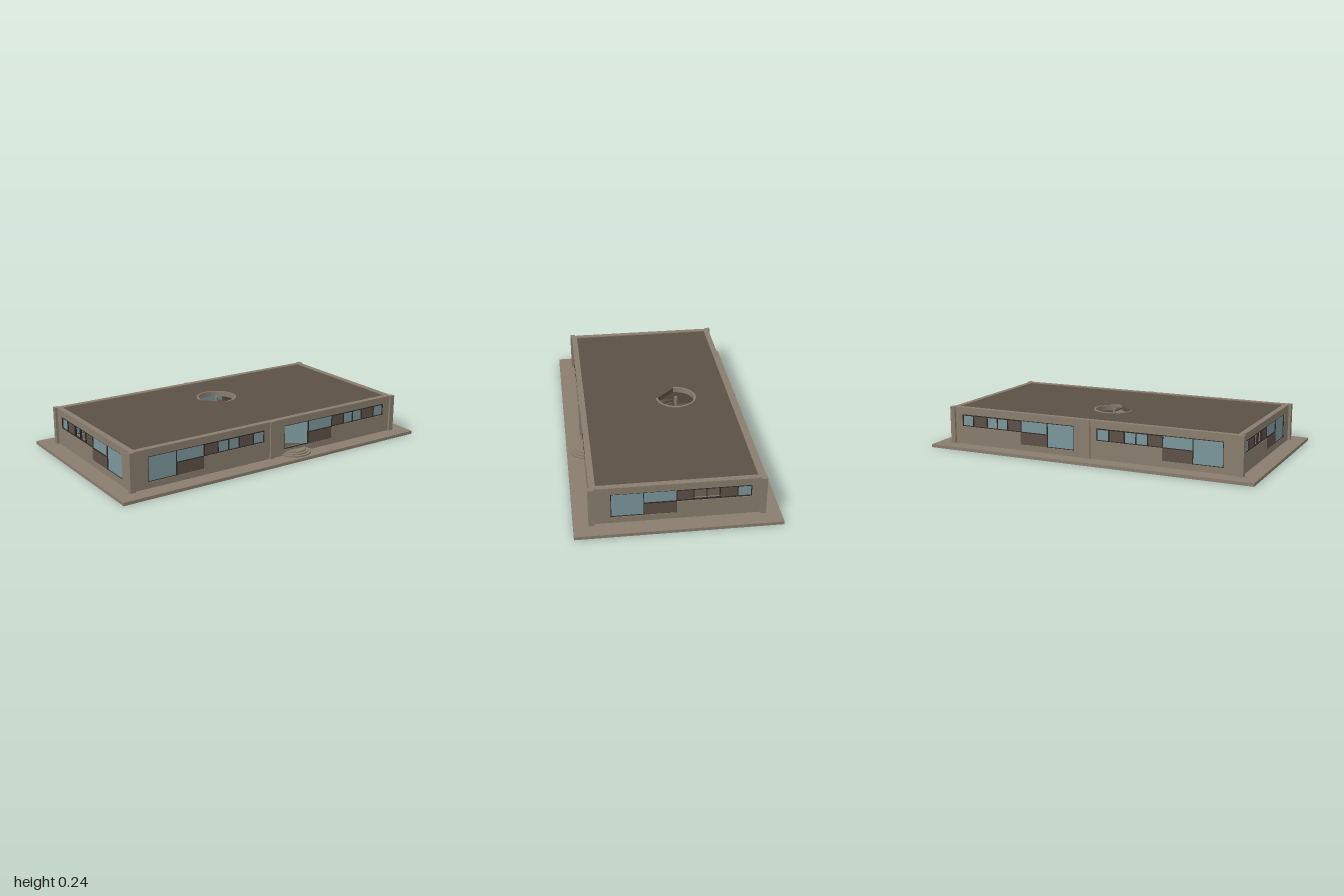
import * as THREE from 'three';

const mat = (name, color) => {
  const m = new THREE.MeshStandardMaterial({ color });
  m.name = name;
  return m;
};

export function createModel() {
  const model = new THREE.Group();
  model.name = 'pavilion';
  const stone = mat('stone', 0x887d6d);
  const brown = mat('darkBrown', 0x5c5046);
  const glass = mat('glass', 0x7a969b);
  const frame = mat('frame', 0x2e2926);

  const add = (parent, name, geo, m, x = 0, y = 0, z = 0) => {
    const mesh = new THREE.Mesh(geo, m);
    mesh.name = name;
    mesh.position.set(x, y, z);
    parent.add(mesh);
    return mesh;
  };
  // box given by its limits on each axis
  const box = (parent, name, m, x0, x1, y0, y1, z0, z1) =>
    add(parent, name, new THREE.BoxGeometry(Math.abs(x1 - x0), y1 - y0, z1 - z0), m,
      (x0 + x1) / 2, (y0 + y1) / 2, (z0 + z1) / 2);
  const path = (p, pts) => {
    pts.forEach(([x, y], i) => (i ? p.lineTo(x, y) : p.moveTo(x, y)));
    p.closePath();
    return p;
  };

  // ground slab and inner floor
  box(model, 'groundSlab', stone, -1, 1, 0, 0.018, -0.555, 0.555);
  box(model, 'floor', brown, -0.87, 0.87, 0.018, 0.022, -0.43, 0.43);

  // wall with stepped window bays; dir mirrors the bays along the wall
  const LOW = 0.053, SILL = 0.125, HEAD = 0.197, T = 0.03;
  const cells = [0.35, 0.44, 0.51, 0.58, 0.675, 0.75];
  function wall(name, angle, half, dist, dir, bays, openCells, doorBay) {
    const g = new THREE.Group();
    g.name = name;
    g.rotation.y = angle;
    model.add(g);
    const s = path(new THREE.Shape(), [[-half, 0.018], [half, 0.018], [half, 0.236], [-half, 0.236]]);
    for (const b of bays) {
      s.holes.push(path(new THREE.Path(), [[0, LOW], [0.35, LOW], [0.35, SILL], [0.75, SILL], [0.75, HEAD], [0, HEAD]]
        .map(([u, y]) => [dir * (b + u), y])));
    }
    add(g, 'wallPanel', new THREE.ExtrudeGeometry(s, { depth: T, bevelEnabled: false }), stone, 0, 0, dist - T);
    box(g, 'topBeam', stone, -half, half, 0.206, 0.24, dist - T, dist + 0.003);

    bays.forEach((b, i) => {
      const part = (n, m, u0, u1, y0, y1, back, thick) =>
        box(g, n, m, dir * (b + u0), dir * (b + u1), y0, y1, dist - back - thick, dist - back);
      if (i === doorBay) {
        // glass door swung inwards on its right side
        const hinge = new THREE.Group();
        hinge.name = 'door';
        hinge.position.set(b + 0.173, 0, dist - 0.012);
        hinge.rotation.y = -0.68;
        g.add(hinge);
        box(hinge, 'doorGlass', glass, -0.172, 0, LOW, 0.19, -0.003, 0.003);
        box(hinge, 'doorStile', frame, -0.175, -0.171, LOW, 0.193, -0.005, 0.005);
      } else {
        part('largeWindow', glass, 0.003, 0.173, LOW + 0.003, 0.192, 0.008, 0.006);
      }
      part('middleWindow', glass, 0.177, 0.348, SILL + 0.003, 0.192, 0.008, 0.006);
      part('lowerPanel', brown, 0.175, 0.35, LOW, SILL, 0.003, 0.012);
      // strip of small windows and panels
      for (let c = 0; c < 5; c++) {
        if (openCells.includes(c)) continue;
        const solid = c === 0 || c === 3;
        part(solid ? 'stripPanel' : 'stripWindow', solid ? brown : glass,
          cells[c], cells[c + 1], SILL, HEAD, 0.01, 0.005);
      }
      // frame rails and mullions
      part('headRail', frame, 0, 0.35, 0.192, HEAD, 0.004, 0.012);
      part('stripHeadRail', frame, 0.35, 0.75, 0.189, HEAD, 0.004, 0.012);
      part('stripSillRail', frame, 0.35, 0.75, SILL, SILL + 0.004, 0.004, 0.012);
      part('middleRail', frame, 0.175, 0.35, SILL - 0.001, SILL + 0.003, 0.002, 0.012);
      part('lowRail', frame, 0, 0.175, LOW, LOW + 0.003, 0.004, 0.012);
      for (const u of [0.002, 0.175]) part('mullion', frame, u - 0.002, u + 0.002, LOW, HEAD, 0.002, 0.013);
      for (const u of cells) {
        const c = Math.min(u, 0.748);
        part('mullion', frame, c - 0.002, c + 0.002, SILL, HEAD, 0.003, 0.013);
      }
    });
  }
  wall('frontWall', 0, 0.9, 0.46, 1, [-0.8, 0.09], [], 1);
  wall('backWall', Math.PI, 0.9, 0.46, -1, [-0.8, 0.09], [], -1);
  wall('wallPlusX', Math.PI / 2, 0.43, 0.9, 1, [-0.355], [1, 2], -1);
  wall('wallMinusX', -Math.PI / 2, 0.43, 0.9, -1, [-0.355], [1, 2], -1);
  box(model, 'partition', brown, -0.31, -0.29, 0.022, 0.206, -0.43, 0.02);

  // corner columns and middle pilasters
  for (const sz of [-1, 1]) {
    for (const sx of [-1, 1]) {
      add(model, 'cornerColumn', new THREE.BoxGeometry(0.03, 0.222, 0.03), stone, sx * 0.9, 0.129, sz * 0.458);
    }
    add(model, 'pilaster', new THREE.BoxGeometry(0.028, 0.222, 0.02), stone, 0, 0.129, sz * 0.46);
  }

  // round entrance steps
  [0.105, 0.09, 0.075].forEach((r, i) => {
    const geo = new THREE.CylinderGeometry(r, r, 0.008, 24, 1, false, -Math.PI / 2, Math.PI);
    add(model, 'entranceStep', geo, stone, 0.173, 0.022 + i * 0.008, 0.432);
  });

  // roof with a three-quarter round stair opening
  const CZ = -0.115, R = 0.12, A0 = -Math.PI / 2, A1 = Math.PI;
  const flat = (name, shape, depth, m, x, y, z) => {
    const geo = new THREE.ExtrudeGeometry(shape, { depth, bevelEnabled: false, curveSegments: 24 });
    geo.rotateX(-Math.PI / 2);
    return add(model, name, geo, m, x, y, z);
  };
  const roof = path(new THREE.Shape(), [[-0.87, -0.43], [0.87, -0.43], [0.87, 0.43], [-0.87, 0.43]]);
  const opening = new THREE.Path();
  opening.moveTo(0, -CZ);
  opening.absarc(0, -CZ, R - 0.005, A0, A1, false);
  opening.closePath();
  roof.holes.push(opening);
  flat('roof', roof, 0.028, brown, 0, 0.207, 0);

  // curved curb around the opening
  const sector = (r0, r1, a0, a1) => {
    const s = new THREE.Shape();
    s.absarc(0, 0, r1, a0, a1, false);
    s.absarc(0, 0, r0, a1, a0, true);
    s.closePath();
    return s;
  };
  flat('stairCurb', sector(0.109, R, A0, A1), 0.03, stone, 0, 0.209, CZ);

  // spiral stair: wedge treads around a centre post
  const N = 14;
  for (let i = 0; i < N; i++) {
    const a = A0 + (i / N) * (A1 - A0);
    flat('stairTread', sector(0.008, 0.109, a, a + (A1 - A0) / N), 0.006, brown, 0, 0.218 - i * 0.014, CZ);
  }
  add(model, 'stairPost', new THREE.CylinderGeometry(0.01, 0.01, 0.216, 16), stone, 0, 0.13, CZ);

  return model;
}
